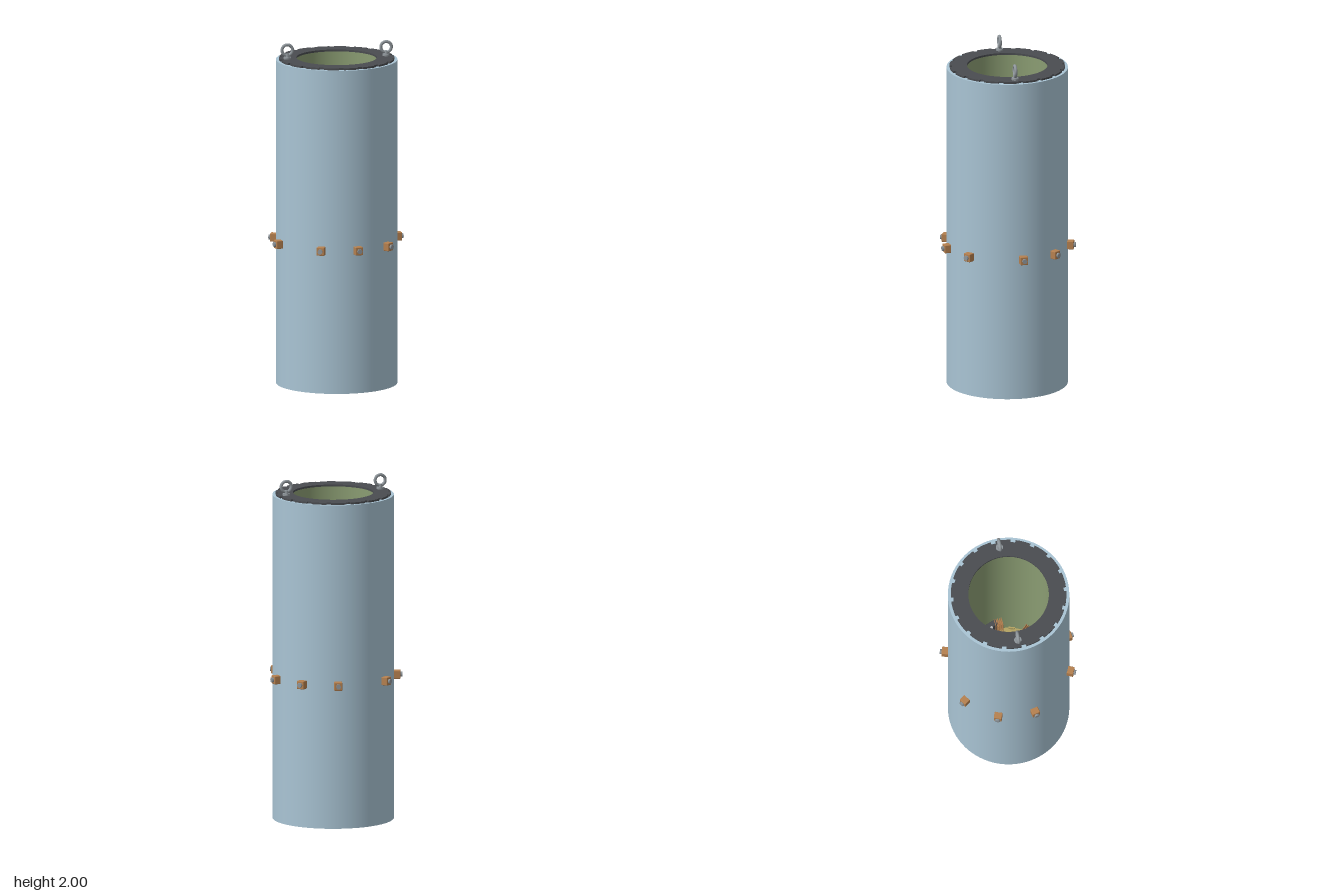
import * as THREE from 'three';
import { RoundedBoxGeometry } from 'three/addons/geometries/RoundedBoxGeometry.js';

const mat = (name, color, side = THREE.FrontSide) => {
  const m = new THREE.MeshStandardMaterial({ color, side });
  m.name = name;
  return m;
};
const RAD = Math.PI / 180;

export function createModel() {
  const blue = mat('paleBlueShell', 0xa9c4d4);
  const dark = mat('darkGrey', 0x4a4c50);
  const copper = mat('copper', 0xb5804f);
  const steel = mat('steel', 0x8f969b);
  const lightSteel = mat('lightSteel', 0xb6b8bc);
  const green = mat('greenLiner', 0x8a9c72, THREE.DoubleSide);
  const tan = mat('tanFloor', 0xb3a361);

  const model = new THREE.Group();
  model.name = 'tapChangerDrum';

  const add = (parent, name, geo, material, x = 0, y = 0, z = 0) => {
    const m = new THREE.Mesh(geo, material);
    m.name = name;
    m.position.set(x, y, z);
    parent.add(m);
    return m;
  };
  // Group whose local +x points outward at a plan angle (degrees from +x towards +z)
  const radial = (name, deg) => {
    const g = new THREE.Group();
    g.name = name;
    g.rotation.y = -deg * RAD;
    model.add(g);
    return g;
  };
  const disc = (r0, r1) => new THREE.RingGeometry(r0, r1, 72).rotateX(-Math.PI / 2);
  const rod = (r, len, sides = 12) => new THREE.CylinderGeometry(r, r, len, sides);
  const rodX = (r, len, sides = 12) => rod(r, len, sides).rotateZ(Math.PI / 2);

  // Drum shell, closed below, with a rim under the top flange
  const topY = 1.897;
  add(model, 'shell', new THREE.CylinderGeometry(0.35, 0.35, topY, 72, 1, true), blue, 0, topY / 2, 0);
  add(model, 'shellBase', new THREE.CircleGeometry(0.35, 72).rotateX(Math.PI / 2), blue);
  add(model, 'shellRim', disc(0.3, 0.35), blue, 0, topY, 0);

  // Dark flange with eighteen square notches
  const flange = new THREE.Shape();
  const half = 2.4;
  for (let i = 0; i < 18; i++) {
    const c = 10 + i * 20;
    const pt = (r, d) => [r * Math.cos(d * RAD), r * Math.sin(d * RAD)];
    if (i === 0) flange.moveTo(...pt(0.333, c - half));
    else flange.lineTo(...pt(0.333, c - half));
    flange.lineTo(...pt(0.319, c - half));
    flange.lineTo(...pt(0.319, c + half));
    for (let k = 0; k <= 4; k++) flange.lineTo(...pt(0.333, c + half + (20 - 2 * half) * k / 4));
  }
  const bore = new THREE.Path();
  bore.absarc(0, 0, 0.232, 0, Math.PI * 2, true);
  flange.holes.push(bore);
  const flangeGeo = new THREE.ExtrudeGeometry(flange, { depth: 0.011, bevelEnabled: false, curveSegments: 36 });
  add(model, 'notchedFlange', flangeGeo.rotateX(-Math.PI / 2), dark, 0, topY, 0);

  // Inner liner and floor
  const floorY = 0.7;
  add(model, 'liner', new THREE.CylinderGeometry(0.234, 0.234, topY - floorY, 72, 1, true), green, 0, (topY + floorY) / 2, 0);
  add(model, 'floor', disc(0, 0.234), tan, 0, floorY, 0);
  for (let i = 0; i < 18; i++) {
    add(radial('floorTab', 10 + i * 20), 'tab', new THREE.BoxGeometry(0.008, 0.02, 0.036), tan, 0.228, floorY + 0.01, 0);
  }

  // Two lifting eyes on the flange
  for (const deg of [-5, 175]) {
    const eye = radial('liftingEye', deg);
    add(eye, 'collar', rod(0.021, 0.012, 20), steel, 0.289, 1.913, 0);
    add(eye, 'stem', new THREE.CylinderGeometry(0.01, 0.014, 0.022, 16), steel, 0.289, 1.927, 0);
    add(eye, 'ring', new THREE.TorusGeometry(0.031, 0.009, 12, 32), steel, 0.289, 1.96, 0);
  }

  // Central shaft, hub and three contact phases
  add(model, 'shaft', rod(0.03, 0.31, 32), dark, 0, floorY + 0.155, 0);
  const hub = [[0.029, 0.75], [0.05, 0.75], [0.05, 0.97], [0.042, 0.97], [0.042, 1], [0.029, 1], [0.029, 0.75]]
    .map(([r, y]) => new THREE.Vector2(r, y));
  const hubGeo = new THREE.LatheGeometry(hub, 36).toNonIndexed();
  hubGeo.computeVertexNormals();
  add(model, 'hub', hubGeo, lightSteel);

  const armShape = new THREE.Shape();
  [[0.04, -0.016], [0.148, -0.011], [0.148, 0.011], [0.04, 0.016]].forEach(([x, y], i) =>
    i ? armShape.lineTo(x, y) : armShape.moveTo(x, y));
  const armGeo = new THREE.ExtrudeGeometry(armShape, { depth: 0.04, bevelEnabled: false }).rotateX(-Math.PI / 2);

  for (let phase = 0; phase < 3; phase++) {
    const base = -62 + phase * 120;

    // Arm with a pin at its tip
    const arm = radial('selectorArm', base);
    add(arm, 'armBar', armGeo, lightSteel, 0, 0.92, 0);
    add(arm, 'armPin', rod(0.009, 0.13, 16), lightSteel, 0.148, 0.91, 0);

    // Inner and outer bridging contacts
    add(arm, 'innerContact', new RoundedBoxGeometry(0.034, 0.12, 0.085, 2, 0.006), dark, 0.173, 0.84, 0);
    const outer = radial('outerContactUnit', base + 35);
    add(outer, 'outerContact', new RoundedBoxGeometry(0.034, 0.12, 0.1, 2, 0.006), dark, 0.206, 0.84, 0);
    add(outer, 'contactPin', rod(0.008, 0.15, 16), lightSteel, 0.182, 0.85, 0);

    // Three terminals: outside block and bolt, inside stem and fingers
    for (let k = 0; k < 3; k++) {
      const t = radial('terminal', base - 17 + k * 34);
      add(t, 'terminalBlock', new RoundedBoxGeometry(0.04, 0.048, 0.046, 2, 0.004), copper, 0.367, 0.84, 0);
      add(t, 'terminalBolt', rodX(0.015, 0.016, 6), steel, 0.39, 0.84, 0);
      add(t, 'terminalStem', rodX(0.005, 0.155), copper, 0.272, 0.84, 0);
      const r = 0.187 + k * 0.008;
      add(t, 'fingerBar', new THREE.BoxGeometry(0.006, 0.02, 0.046), copper, r + 0.008, 0.84, 0);
      for (let f = -2; f <= 2; f++) {
        add(t, 'contactFinger', new THREE.BoxGeometry(0.045, 0.13, 0.003), copper, r, 0.84, f * 0.0105);
      }
    }
  }
  return model;
}
